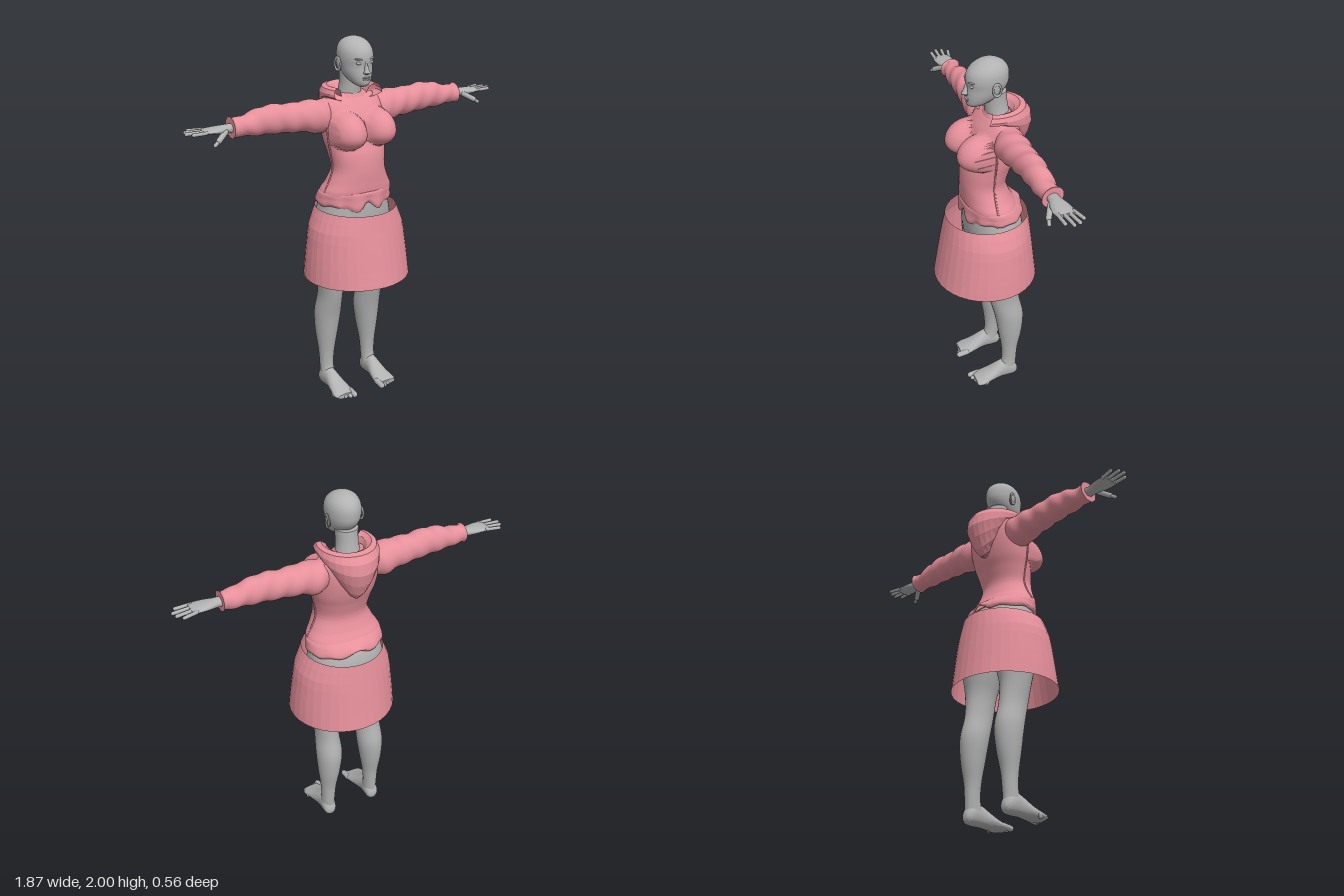
import * as THREE from 'three';
import { toCreasedNormals } from 'three/addons/utils/BufferGeometryUtils.js';

const skin = new THREE.MeshStandardMaterial({ color: 0xb2b2b2 });
skin.name = 'grey skin';
const cloth = new THREE.MeshStandardMaterial({ color: 0xe6909b, side: THREE.DoubleSide });
cloth.name = 'pink cloth';

// Smooth value of one column of a section table at u (0..1)
function sample(rows, col, u) {
  const f = u * (rows.length - 1), i = Math.min(Math.floor(f), rows.length - 2), t = f - i;
  const at = (k) => rows[Math.max(0, Math.min(rows.length - 1, k))][col];
  const [a, b, c, d] = [at(i - 1), at(i), at(i + 1), at(i + 2)];
  return 0.5 * (2 * b + (c - a) * t + (2 * a - 5 * b + 4 * c - d) * t * t + (3 * b - a - 3 * c + d) * t * t * t);
}

function gridGeometry(pos, index) {
  const g = new THREE.BufferGeometry();
  g.setAttribute('position', new THREE.Float32BufferAttribute(pos, 3));
  g.setIndex(index);
  return g;
}

// Turn a closed surface the right way out, by its signed volume
function orient(pos, index) {
  const v = (i) => new THREE.Vector3().fromArray(pos, i * 3);
  let volume = 0;
  for (let i = 0; i < index.length; i += 3)
    volume += v(index[i]).dot(v(index[i + 1]).cross(v(index[i + 2])));
  if (volume < 0) index.reverse();
}

// Elliptical sections [t, aMin, aMax, bMin, bMax] skinned along t, then mapped into space
function loft(rows, { n = 32, steps = 5, power = 2, caps = true, flat = false, map = (a, t, b) => [a, t, b] } = {}) {
  const pos = [], index = [], m = (rows.length - 1) * steps;
  const bend = (v) => Math.sign(v) * Math.abs(v) ** (2 / power);
  for (let j = 0; j <= m; j++) {
    const [t, a0, a1, b0, b1] = [0, 1, 2, 3, 4].map((c) => sample(rows, c, j / m));
    for (let i = 0; i < n; i++) {
      const q = (i / n) * Math.PI * 2;
      pos.push(...map((a0 + a1) / 2 + (a1 - a0) / 2 * bend(Math.cos(q)), t, (b0 + b1) / 2 + (b1 - b0) / 2 * bend(Math.sin(q)), q));
    }
  }
  for (let j = 0; j < m; j++) for (let i = 0; i < n; i++) {
    const a = j * n + i, b = j * n + (i + 1) % n;
    index.push(a, a + n, b, b, a + n, b + n);
  }
  if (caps) for (const j of [0, m]) {
    const c = pos.length / 3, mid = [0, 0, 0];
    for (let i = 0; i < n; i++) for (let k = 0; k < 3; k++) mid[k] += pos[(j * n + i) * 3 + k] / n;
    pos.push(...mid);
    for (let i = 0; i < n; i++) {
      const a = j * n + i, b = j * n + (i + 1) % n;
      index.push(...(j ? [a, c, b] : [a, b, c]));
    }
  }
  orient(pos, index);
  return finish(gridGeometry(pos, index), flat);
}

function finish(g, flat) {
  if (!flat) return toCreasedNormals(g, 1.0);
  const f = g.toNonIndexed();
  f.computeVertexNormals();
  return f;
}

// Symmetric sections [y, halfWidth, zBack, zFront]
const sym = (rows) => rows.map(([y, w, b, f]) => [y, -w, w, b, f]);

export function createModel() {
  const model = new THREE.Group();
  const add = (name, geometry, material = skin) => {
    const mesh = new THREE.Mesh(geometry, material);
    mesh.name = name;
    model.add(mesh);
    return mesh;
  };
  const blob = (name, x, y, z, rx, ry, rz, material) => {
    const g = new THREE.SphereGeometry(1, 16, 12);
    g.scale(rx, ry, rz);
    const mesh = add(name, g, material);
    mesh.position.set(x, y, z);
    return mesh;
  };
  const digit = (name, from, to, r) => {
    const a = new THREE.Vector3(...from), b = new THREE.Vector3(...to), d = b.clone().sub(a);
    const mesh = add(name, new THREE.CapsuleGeometry(r, d.length(), 5, 10));
    mesh.position.copy(a).add(b).multiplyScalar(0.5);
    mesh.quaternion.setFromUnitVectors(new THREE.Vector3(0, 1, 0), d.normalize());
  };

  // Head, neck and face
  add('head', loft(sym([[1.753, 0.02, 0.04, 0.078], [1.765, 0.038, 0, 0.096], [1.785, 0.056, -0.04, 0.1], [1.82, 0.073, -0.085, 0.1],
    [1.86, 0.083, -0.115, 0.097], [1.9, 0.088, -0.123, 0.101], [1.94, 0.084, -0.119, 0.09], [1.97, 0.068, -0.1, 0.062],
    [1.99, 0.042, -0.068, 0.027], [2, 0.008, -0.03, -0.01]]), { n: 40 }));
  add('neck', loft(sym([[1.64, 0.075, -0.14, -0.01], [1.74, 0.058, -0.118, 0.002], [1.82, 0.06, -0.11, 0.01]])));
  add('nose', loft(sym([[1.818, 0.01, 0.08, 0.1], [1.828, 0.017, 0.07, 0.125], [1.848, 0.011, 0.07, 0.115], [1.89, 0.008, 0.07, 0.1]]), { n: 16 }));
  blob('upperLip', 0, 1.803, 0.097, 0.024, 0.005, 0.01);
  blob('lowerLip', 0, 1.794, 0.096, 0.02, 0.006, 0.01);
  for (const s of [1, -1]) {
    blob('eye', s * 0.036, 1.878, 0.084, 0.016, 0.008, 0.009);
    blob('brow', s * 0.038, 1.898, 0.086, 0.022, 0.005, 0.01).rotation.set(0, s * 0.35, s * 0.12);
    blob('ear', s * 0.088, 1.862, -0.026, 0.008, 0.034, 0.02).rotation.z = -s * 0.15;
    const rim = add('earRim', new THREE.TorusGeometry(0.02, 0.005, 8, 20));
    rim.scale.set(1, 1.6, 1);
    rim.position.set(s * 0.094, 1.864, -0.028);
    rim.rotation.y = Math.PI / 2 - s * 0.2;
  }

  // Hips
  add('hips', loft(sym([[1.22, 0.18, -0.13, 0.11], [1.1, 0.203, -0.18, 0.115], [1, 0.222, -0.19, 0.11],
    [0.92, 0.215, -0.18, 0.09], [0.86, 0.1, -0.12, 0.04]]), { power: 2.2 }));

  // Jacket body, with the bust pushed out of the front
  const torso = sym([[1.155, 0.2, -0.165, 0.115], [1.2, 0.203, -0.145, 0.125], [1.25, 0.175, -0.118, 0.128], [1.32, 0.149, -0.1, 0.13],
    [1.4, 0.158, -0.12, 0.122], [1.47, 0.172, -0.145, 0.1], [1.55, 0.18, -0.162, 0.085], [1.62, 0.18, -0.165, 0.055],
    [1.665, 0.172, -0.155, 0.02], [1.69, 0.13, -0.14, -0.005], [1.7, 0.085, -0.13, -0.012]]);
  const bust = (x, y, z) => {
    if (z < 0) return [x, y, z];
    const up = y - 1.515, d = Math.hypot((Math.abs(x) - 0.09) / 0.098, up / (up > 0 ? 0.115 : 0.088));
    return [x, y, d < 1 ? Math.max(z, 0.04 + 0.143 * Math.sqrt(1 - d * d)) : z];
  };
  add('jacketBody', loft(torso, { n: 96, steps: 9, power: 2.2, map: bust }), cloth);
  add('jacketCollar', loft(sym([[1.685, 0.105, -0.14, 0.005], [1.697, 0.094, -0.135, 0], [1.707, 0.08, -0.13, -0.005]])), cloth);

  // Flared hem with a wavy lower edge and a notch front and back
  const hemWave = (x, y, z, q) => {
    const low = Math.max(0, (1.19 - y) / 0.07);
    const dip = z > 0 ? 0.035 * Math.exp(-(((Math.abs(x) - 0.07) / 0.04) ** 2)) - 0.025 * Math.exp(-((x / 0.03) ** 2))
      : -0.03 * Math.exp(-((x / 0.05) ** 2));
    return [x, y - low * (dip + 0.004 * Math.sin(q * 9)), z + (z > 0 ? 0.008 : -0.004) * low * Math.sin(q * 11)];
  };
  add('jacketHem', loft(sym([[1.21, 0.185, -0.13, 0.115], [1.195, 0.208, -0.155, 0.13], [1.165, 0.213, -0.182, 0.13],
    [1.14, 0.216, -0.192, 0.13], [1.125, 0.208, -0.186, 0.123]]), { n: 96, map: hemWave, caps: false }), cloth);

  // Hood lying on the back: [xRadius, zRadius, y at the sides, drop at the back]
  const hood = [[0.08, 0.07, 1.685, 0], [0.1, 0.105, 1.73, 0], [0.125, 0.13, 1.745, 0], [0.15, 0.16, 1.737, 0], [0.16, 0.186, 1.715, 0.015],
    [0.157, 0.195, 1.7, 0.06], [0.14, 0.178, 1.69, 0.12], [0.115, 0.15, 1.68, 0.175], [0.08, 0.12, 1.675, 0.205], [0.05, 0.08, 1.67, 0.2]];
  const pos = [], index = [], cols = 18;
  hood.forEach(([rx, rz, y, drop], j) => {
    for (let i = 0; i <= cols; i++) {
      const q = (i / cols - 0.5) * 4, back = Math.max(0, Math.cos(q));
      pos.push(rx * Math.sin(q), y - drop * back, -0.05 - rz * Math.cos(q));
      if (j && i) {
        const a = j * (cols + 1) + i, b = a - cols - 1;
        index.push(b - 1, a - 1, b, b, a - 1, a);
      }
    }
  });
  orient(pos, index);
  add('hood', finish(gridGeometry(pos, index), true), cloth);

  // Skirt, an open flared tube
  add('skirt', loft(sym([[1.1, 0.217, -0.23, 0.215], [1.0, 0.26, -0.243, 0.232], [0.9, 0.275, -0.256, 0.25],
    [0.8, 0.286, -0.268, 0.267], [0.71, 0.293, -0.28, 0.283]]), { n: 36, steps: 2, caps: false, flat: true }), cloth);

  for (const s of [1, -1]) {
    // Side seam
    const seam = torso.slice(1, 8).map(([y, , w]) => new THREE.Vector3(s * w, y, 0.005));
    add('sideSeam', new THREE.TubeGeometry(new THREE.CatmullRomCurve3(seam), 40, 0.005, 6), cloth);

    // Sleeve along x, with soft wrinkles; sections give y then z
    const along = (a, t, b) => [s * t, a, b];
    const wrinkled = (a, t, b, q) => {
      const k = 0.003 * Math.sin(t * 60 + 2 * q);
      return [s * t, a + k * Math.cos(q), b + k * Math.sin(q)];
    };
    add('sleeve', loft([[0.13, 1.53, 1.68, -0.13, 0], [0.19, 1.505, 1.685, -0.145, 0.02], [0.27, 1.525, 1.688, -0.14, 0.015],
      [0.36, 1.535, 1.685, -0.132, 0.005], [0.45, 1.543, 1.694, -0.127, 0], [0.54, 1.548, 1.685, -0.122, -0.003],
      [0.62, 1.555, 1.662, -0.115, -0.008], [0.675, 1.56, 1.655, -0.112, -0.012], [0.692, 1.553, 1.665, -0.116, -0.008]],
    { map: wrinkled, steps: 8 }), cloth);

    // Hand
    add('hand', loft([[0.66, 1.582, 1.632, -0.095, -0.03], [0.71, 1.585, 1.63, -0.092, -0.03], [0.76, 1.59, 1.628, -0.105, -0.015],
      [0.81, 1.596, 1.624, -0.112, -0.008], [0.845, 1.6, 1.619, -0.108, -0.014]], { map: along, n: 20 }));
    [[-0.103, -0.12, 0.895], [-0.076, -0.09, 0.92], [-0.05, -0.058, 0.928], [-0.022, -0.024, 0.905]].forEach(([z0, z1, tip]) =>
      digit('finger', [s * 0.825, 1.611, z0], [s * tip, 1.611, z1], 0.0095));
    digit('thumb', [s * 0.735, 1.6, -0.03], [s * 0.785, 1.57, 0], 0.015);
    digit('thumbTip', [s * 0.78, 1.573, -0.002], [s * 0.81, 1.553, 0.008], 0.01);

    // Leg
    const side = (x, y, z) => [s * x, y, z];
    add('leg', loft([[0.95, 0.005, 0.218, -0.18, 0.09], [0.82, 0.03, 0.218, -0.165, 0.07], [0.7, 0.058, 0.205, -0.143, 0.04],
      [0.58, 0.064, 0.194, -0.15, 0.018], [0.46, 0.058, 0.202, -0.175, -0.012], [0.34, 0.072, 0.196, -0.168, -0.032],
      [0.22, 0.092, 0.182, -0.145, -0.05], [0.13, 0.1, 0.177, -0.138, -0.052], [0.07, 0.1, 0.178, -0.135, -0.03]], { map: side }));

    // Foot along z; sections give x then y
    add('foot', loft([[-0.142, 0.12, 0.16, 0.02, 0.06], [-0.125, 0.105, 0.175, 0.004, 0.095], [-0.09, 0.1, 0.18, 0, 0.125],
      [-0.04, 0.1, 0.18, 0.002, 0.115], [0.03, 0.085, 0.192, 0, 0.073], [0.085, 0.077, 0.202, 0, 0.046],
      [0.115, 0.082, 0.192, 0.005, 0.034]], { map: (a, t, b) => [s * a, b, t] }));
    for (let i = 0; i < 5; i++) {
      const x = s * (0.092 + 0.024 * i), r = i ? 0.012 : 0.017;
      digit('toe', [x, 0.025, 0.08 - 0.006 * i], [x, r + 0.002, 0.128 - 0.004 * i * i], r);
    }
  }
  return model;
}
